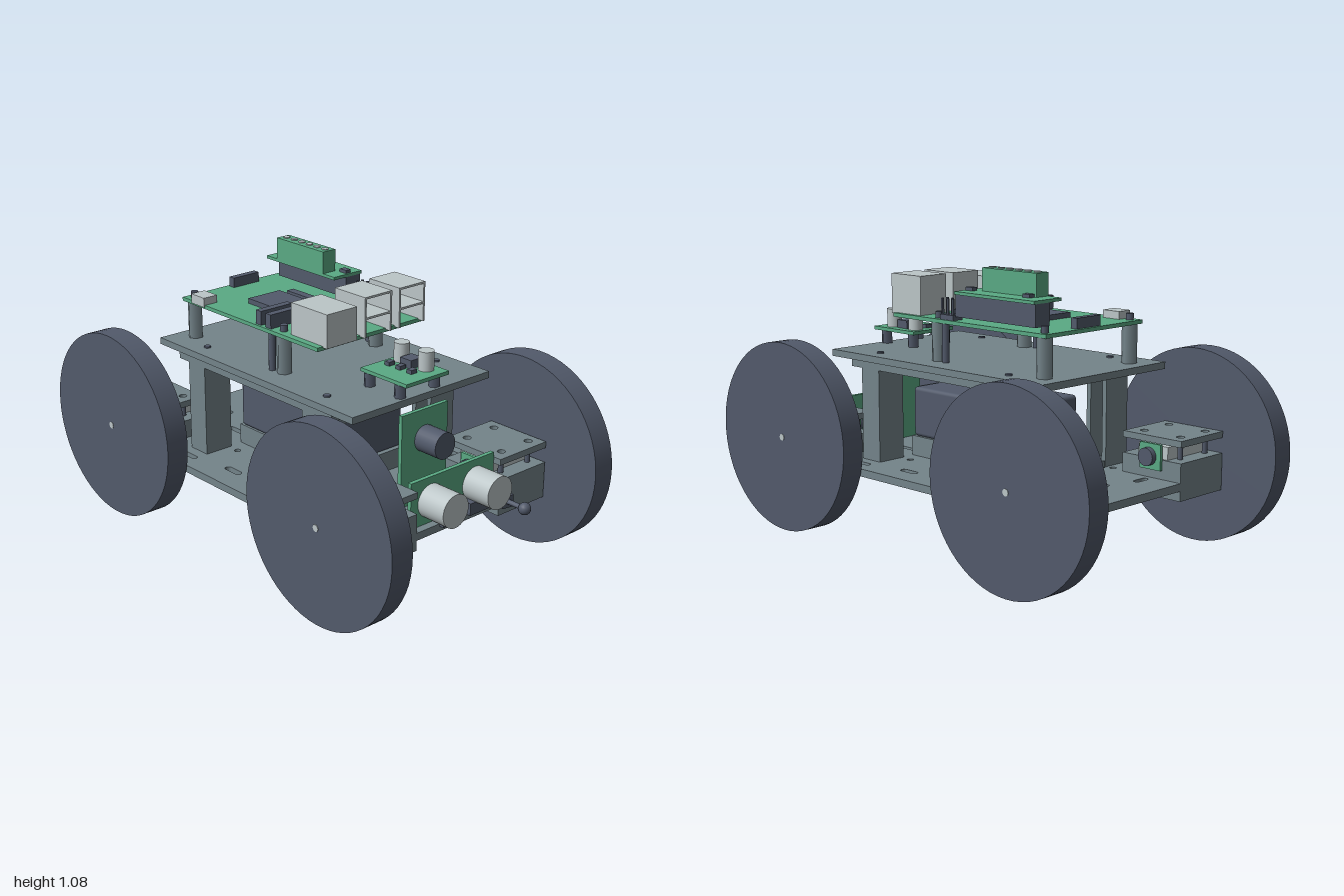
import * as THREE from 'three';
import { RoundedBoxGeometry } from 'three/addons/geometries/RoundedBoxGeometry.js';

const mat = (name, color) => Object.assign(new THREE.MeshStandardMaterial({ color }), { name });

export function createModel() {
  const root = new THREE.Group();
  root.name = 'rover';
  const dark = mat('dark slate', 0x525a6b), grey = mat('metal grey', 0x74848a);
  const green = mat('board green', 0x5aaa84), light = mat('light metal', 0xbcc6c8);

  const add = (name, geo, m, x = 0, y = 0, z = 0) => {
    const mesh = new THREE.Mesh(geo, m);
    mesh.name = name;
    mesh.position.set(x, y, z);
    root.add(mesh);
    return mesh;
  };
  // box given by its minimum and maximum on each axis
  const box = (name, m, x0, x1, y0, y1, z0, z1) => add(name,
    new THREE.BoxGeometry(x1 - x0, y1 - y0, z1 - z0), m, (x0 + x1) / 2, (y0 + y1) / 2, (z0 + z1) / 2);
  const cyl = (name, m, r, len, x, y, z, axis = 'y', seg = 20) => {
    const g = new THREE.CylinderGeometry(r, r, len, seg);
    if (axis === 'x') g.rotateZ(Math.PI / 2);
    if (axis === 'z') g.rotateX(Math.PI / 2);
    return add(name, g, m, x, y, z);
  };
  // horizontal plate with round holes and slots, each [x, z, radius, half length in x, half length in z]
  const plate = (name, m, x0, x1, z0, z1, y0, y1, holes) => {
    const s = new THREE.Shape();
    s.moveTo(x0, -z1).lineTo(x1, -z1).lineTo(x1, -z0).lineTo(x0, -z0).closePath();
    for (const [x, z, r, hx = 0, hz = 0] of holes) {
      const p = new THREE.Path(), pts = [];
      for (let i = 0; i < 16; i++) {
        const a = (i + 0.5) / 16 * Math.PI * 2, c = Math.cos(a), q = Math.sin(a);
        pts.push(new THREE.Vector2(x + r * c + Math.sign(c) * hx, -z + r * q + Math.sign(q) * hz));
      }
      s.holes.push(p.setFromPoints(pts));
    }
    const g = new THREE.ExtrudeGeometry(s, { depth: y1 - y0, bevelEnabled: false });
    return add(name, g.rotateX(-Math.PI / 2), m, 0, y0, 0);
  };
  const signs = [-1, 1];
  const corners = (f) => signs.forEach(a => signs.forEach(b => f(a, b)));

  // base plate with its pattern of slots and holes
  const baseHoles = [];
  corners((a, b) => {
    baseHoles.push([a * 0.097, b * 0.365, 0.014, 0.03], [a * 0.62, b * 0.155, 0.014, 0, 0.022]);
    baseHoles.push([a * 0.35, b * 0.4, 0.012, 0.05], [a * 0.4, b * 0.1, 0.012, 0.04]);
    for (const x of [0.08, 0.24, 0.42]) baseHoles.push([a * x, b * 0.23, 0.013]);
  });
  signs.forEach(a => baseHoles.push([a * 0.58, 0, 0.014], [a * 0.2, 0, 0.013]));
  plate('basePlate', grey, -0.76, 0.76, -0.47, 0.47, 0.265, 0.295, baseHoles);

  // wheels, axles, motors and motor mounts at the four corners
  corners((a, b) => {
    const z = (p, q) => b > 0 ? [p, q] : [-q, -p];
    const x = (p, q) => a > 0 ? [p, q] : [-q, -p];
    cyl('wheel', dark, 0.38, 0.095, a * 0.62, 0.38, b * 0.5225, 'z', 64);
    cyl('axle', light, 0.014, 0.372, a * 0.62, 0.38, b * 0.386, 'z', 8);
    box('motor', light, ...x(0.55, 0.69), 0.36, 0.42, ...z(0.225, 0.46));
    box('motorMountOuterWall', grey, ...x(0.735, 0.76), 0.225, 0.37, ...z(0.215, 0.47));
    box('motorMountInnerWall', grey, ...x(0.48, 0.505), 0.225, 0.37, ...z(0.215, 0.47));
    box('motorMountSide', grey, ...x(0.505, 0.735), 0.225, 0.37, ...z(0.455, 0.47));
    box('motorMountInnerSide', grey, ...x(0.505, 0.735), 0.225, 0.37, ...z(0.215, 0.23));
    box('motorMountFloor', grey, ...x(0.505, 0.735), 0.24, 0.262, ...z(0.23, 0.455));
    box('motorMountBed', grey, ...x(0.505, 0.735), 0.34, 0.37, ...z(0.23, 0.455));
    const holes = [];
    for (const px of [0.535, 0.71]) for (const pz of [0.275, 0.425]) {
      holes.push([a * px, b * pz, 0.016]);
      cyl('mountSpacer', dark, 0.011, 0.06, a * px, 0.4, b * pz, 'y', 10);
    }
    plate('motorMountCap', grey, ...x(0.48, 0.76), ...z(0.215, 0.47), 0.43, 0.455, holes);
    // encoder at the inner end of the motor
    box('encoderBoard', green, ...x(0.575, 0.675), 0.33, 0.43, ...z(0.2, 0.212));
    cyl('encoderDisc', dark, 0.035, 0.025, a * 0.62, 0.38, b * 0.19, 'z');
    // channel-shaped deck supports
    box('supportWeb', grey, ...x(0.29, 0.39), 0.295, 0.66, ...z(0.325, 0.345));
    box('supportFlange', grey, ...x(0.29, 0.31), 0.295, 0.66, ...z(0.22, 0.325));
    box('supportFlange', grey, ...x(0.37, 0.39), 0.295, 0.66, ...z(0.22, 0.325));
    box('supportFoot', grey, ...x(0.31, 0.37), 0.295, 0.315, ...z(0.22, 0.325));
    cyl('deckScrew', dark, 0.014, 0.008, a * 0.353, 0.717, b * 0.28, 'y', 12);
  });

  // battery on a raised cradle
  add('battery', new RoundedBoxGeometry(0.58, 0.2, 0.33, 2, 0.015), dark, 0, 0.475, 0);
  box('batteryCradle', grey, -0.3, 0.3, 0.318, 0.375, -0.165, 0.165);
  signs.forEach(a => box('cradleFoot', grey, a > 0 ? 0.1 : -0.3, a > 0 ? 0.3 : -0.1, 0.295, 0.318, -0.165, 0.165));

  // upper deck
  box('deck', grey, -0.57, 0.565, 0.688, 0.715, -0.35, 0.35);
  box('deckUnderside', grey, -0.45, 0.45, 0.66, 0.688, -0.345, 0.345);

  // main computer board on standoffs
  box('computerBoard', green, -0.52, 0.29, 0.865, 0.88, -0.265, 0.27);
  for (const x of [-0.487, 0.062]) for (const z of [-0.235, 0.235]) {
    cyl('standoff', grey, 0.03, 0.15, x, 0.79, z, 'y', 6);
    cyl('standoffScrew', dark, 0.015, 0.03, x, 0.89, z, 'y', 12);
  }
  signs.forEach(b => cyl('deckRod', dark, 0.014, 0.165, 0.01, 0.7975, b * 0.25, 'y', 8));
  const chips = [
    [-0.285, -0.125, 0.9, -0.035, 0.125], [-0.025, 0.095, 0.9, -0.13, -0.02], [0.045, 0.13, 0.895, 0, 0.08],
    [-0.275, -0.135, 0.895, -0.1, -0.065], [-0.072, -0.042, 0.935, 0.105, 0.26],
    [-0.015, 0.015, 0.935, 0.105, 0.26], [-0.51, -0.482, 0.92, -0.09, 0.04], [-0.04, 0.03, 0.9, -0.26, -0.21],
  ];
  for (const [x0, x1, y1, z0, z1] of chips) box('chip', dark, x0, x1, 0.88, y1, z0, z1);
  for (let i = 0; i < 6; i++)
    box('pin', dark, -0.03 + (i % 3) * 0.028, -0.022 + (i % 3) * 0.028, 0.9, 0.96, i < 3 ? -0.25 : -0.225, i < 3 ? -0.242 : -0.217);
  box('powerSocket', light, -0.455, -0.375, 0.872, 0.91, 0.21, 0.275);

  // sockets, open towards +x
  const socket = (name, x0, y1, z0, z1, shelf) => {
    const x1 = 0.315, t = 0.008;
    box(name + 'Back', light, x0, x0 + t, 0.88, y1, z0, z1);
    box(name + 'Top', light, x0, x1, y1 - t, y1, z0, z1);
    box(name + 'Side', light, x0, x1, 0.875, y1 - t, z0, z0 + t);
    box(name + 'Side', light, x0, x1, 0.875, y1 - t, z1 - t, z1);
    if (shelf) box(name + 'Shelf', light, x0, x1, 0.945, 0.953, z0, z1);
  };
  socket('usbSocket', 0.15, 1.032, -0.25, -0.115, true);
  socket('usbSocket', 0.15, 1.032, -0.077, 0.06, true);
  box('networkSocket', light, 0.112, 0.31, 0.875, 1.005, 0.095, 0.243);

  // add-on board with header and screw terminal
  box('headerBlock', dark, -0.455, -0.045, 0.895, 0.98, -0.25, -0.175);
  box('addOnBoard', green, -0.455, -0.045, 0.98, 0.992, -0.258, -0.112);
  box('terminalBlock', green, -0.39, -0.11, 0.992, 1.08, -0.176, -0.112);
  for (let i = 0; i < 6; i++) cyl('terminalScrew', light, 0.014, 0.006, -0.365 + i * 0.046, 1.081, -0.144, 'y', 12);
  for (const x of [-0.365, -0.07]) box('addOnChip', dark, x - 0.018, x + 0.018, 0.992, 1.005, -0.205, -0.18);

  // small regulator board on the front of the deck
  box('regulatorBoard', green, 0.345, 0.585, 0.768, 0.782, -0.11, 0.108);
  for (const x of [0.375, 0.535]) for (const z of [-0.085, 0.09]) cyl('regulatorStandoff', dark, 0.022, 0.053, x, 0.7415, z, 'y', 6);
  for (const x of [0.39, 0.518]) cyl('capacitor', light, 0.03, 0.075, x, 0.819, -0.058);
  box('regulatorCoil', dark, 0.425, 0.482, 0.782, 0.815, -0.075, -0.015);
  for (const x of [0.395, 0.452, 0.51]) box('regulatorPart', dark, x - 0.012, x + 0.012, 0.782, 0.797, -0.008, 0.022);

  // camera board and lens below the deck
  box('cameraBoard', green, 0.56, 0.577, 0.295, 0.66, -0.118, 0.118);
  cyl('cameraLens', dark, 0.052, 0.105, 0.629, 0.545, 0, 'x', 28);

  // distance sensor with two round transducers
  box('distanceBoard', green, 0.71, 0.727, 0.295, 0.475, -0.215, 0.215);
  signs.forEach(b => cyl('transducer', light, 0.065, 0.125, 0.79, 0.382, b * 0.115, 'x', 32));
  box('sensorShelf', green, 0.61, 0.71, 0.305, 0.318, -0.213, -0.08);

  // small angled sensors beside the transducers
  const armA = box('sensorArm', dark, 0.69, 0.82, 0.285, 0.333, -0.235, -0.185);
  armA.rotation.y = -0.15;
  box('sensorBar', dark, 0.727, 0.775, 0.285, 0.333, -0.24, -0.045);
  cyl('sensorStem', dark, 0.01, 0.09, 0.855, 0.31, -0.2, 'x', 10);
  add('sensorTip', new THREE.SphereGeometry(0.024, 16, 10), dark, 0.9, 0.31, -0.2);
  const armB = box('sensorBody', dark, 0.6, 0.72, 0.295, 0.335, 0.02, 0.09);
  armB.rotation.y = 0.6;
  box('sensorNub', dark, 0.727, 0.78, 0.285, 0.33, 0.045, 0.1);
  box('sensorNub', dark, 0.727, 0.765, 0.298, 0.335, 0.01, 0.045);
  for (let i = 0; i < 4; i++) box('undersidePin', dark, 0.2, 0.25, 0.25, 0.266, -0.085 + i * 0.024, -0.077 + i * 0.024);

  return root;
}
